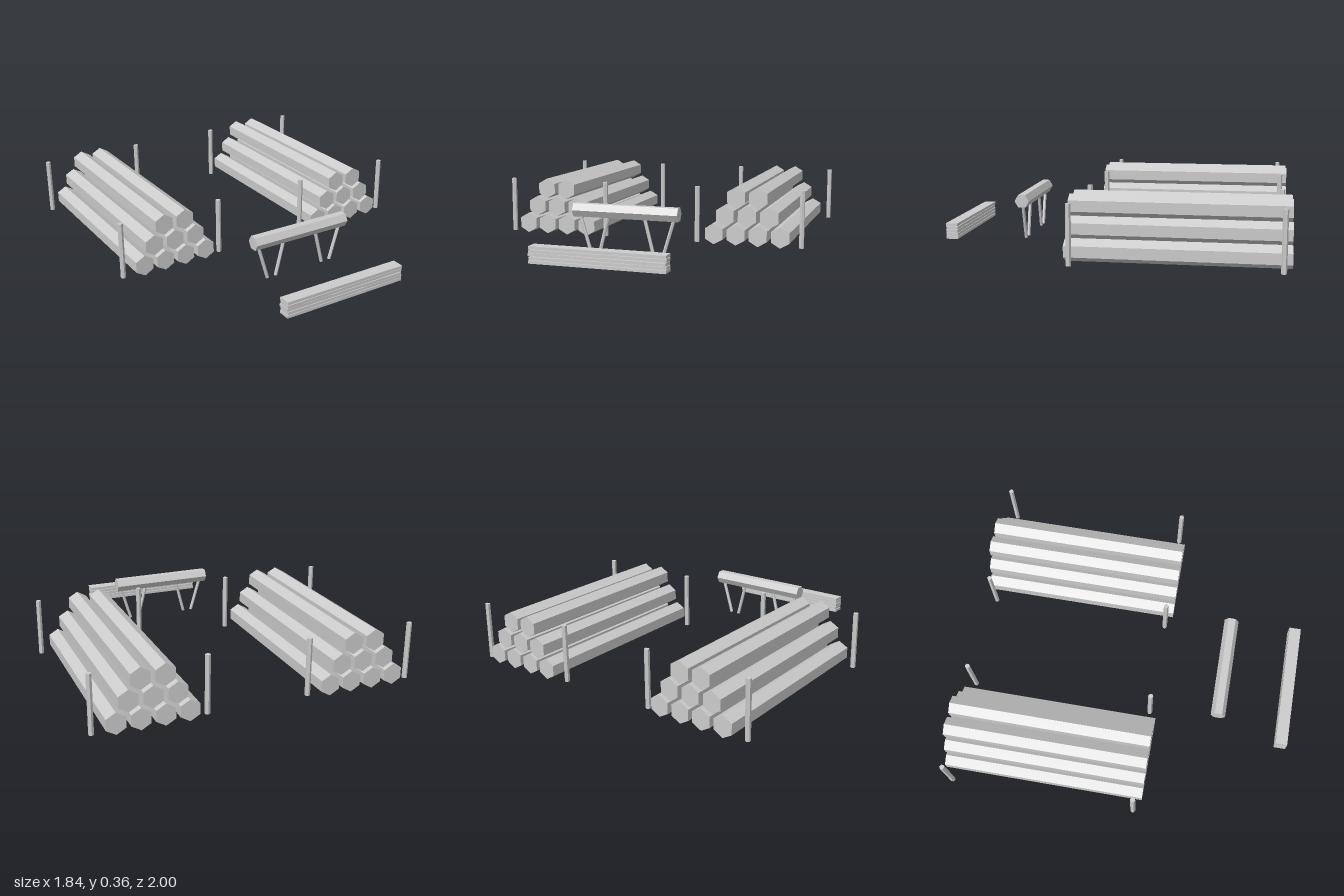
import * as THREE from 'three';

const material = new THREE.MeshStandardMaterial({ color: 0xcccccc, flatShading: true });

function add(parent, name, geometry, x, y, z) {
  const mesh = new THREE.Mesh(geometry, material);
  mesh.name = name;
  mesh.position.set(x, y, z);
  parent.add(mesh);
  return mesh;
}

// Six-sided rod between two points
function rod(parent, name, a, b, radius) {
  const dir = b.clone().sub(a);
  const mesh = add(parent, name, new THREE.CylinderGeometry(radius, radius, dir.length(), 6),
    (a.x + b.x) / 2, (a.y + b.y) / 2, (a.z + b.z) / 2);
  mesh.quaternion.setFromUnitVectors(new THREE.Vector3(0, 1, 0), dir.normalize());
  return mesh;
}

// Pyramid of hexagonal logs, points up, held between four stakes
function createLogPile(side) {
  const pile = new THREE.Group();
  pile.name = side > 0 ? 'leftLogPile' : 'rightLogPile';
  const logGeometry = new THREE.CylinderGeometry(0.061, 0.061, 1.19, 6);
  logGeometry.rotateX(Math.PI / 2);
  for (let row = 0; row < 3; row++) {
    const count = 4 - row;
    for (let i = 0; i < count; i++) {
      add(pile, 'log', logGeometry,
        side * 0.597 + (i - (count - 1) / 2) * 0.13, 0.075 + row * 0.11, -0.405);
    }
  }
  const stakeGeometry = new THREE.CylinderGeometry(0.015, 0.015, 0.33, 6);
  for (const x of [0.29, 0.907]) {
    for (const z of [-0.953, 0.147]) add(pile, 'stake', stakeGeometry, side * x, 0.18, z);
  }
  return pile;
}

// Log bench on two V-shaped pairs of legs
function createBench() {
  const bench = new THREE.Group();
  bench.name = 'bench';
  const z = 0.555;
  const beam = new THREE.CylinderGeometry(0.043, 0.043, 0.617, 6);
  beam.rotateZ(Math.PI / 2);
  beam.rotateX(Math.PI / 6);
  // Turn the cross-section so that a flat faces up
  beam.computeBoundingBox();
  if (beam.boundingBox.max.y > 0.04) beam.rotateX(Math.PI / 6);
  add(bench, 'benchBeam', beam, -0.002, 0.24, z);
  for (const side of [-1, 1]) {
    for (const [top, bottom] of [[0.28, 0.215], [0.105, 0.16]]) {
      rod(bench, 'benchLeg', new THREE.Vector3(side * top, 0.22, z),
        new THREE.Vector3(side * bottom, 0.003, z), 0.01);
    }
  }
  return bench;
}

// Stack of slightly uneven boards
function createPlankStack() {
  const stack = new THREE.Group();
  stack.name = 'plankStack';
  const plank = new THREE.BoxGeometry(0.76, 0.0165, 0.07);
  for (let i = 0; i < 5; i++) {
    const mesh = add(stack, 'plank', plank,
      -0.002 + 0.002 * Math.sin(i * 2.3), 0.024 + i * 0.0192, 0.963);
    mesh.rotation.z = 0.002 * Math.sin(i * 1.9 + 1);
    mesh.rotation.y = 0.003 * Math.sin(i * 2.7);
  }
  return stack;
}

export function createModel() {
  const model = new THREE.Group();
  model.name = 'logYard';
  model.add(createLogPile(-1), createLogPile(1), createBench(), createPlankStack());
  return model;
}
